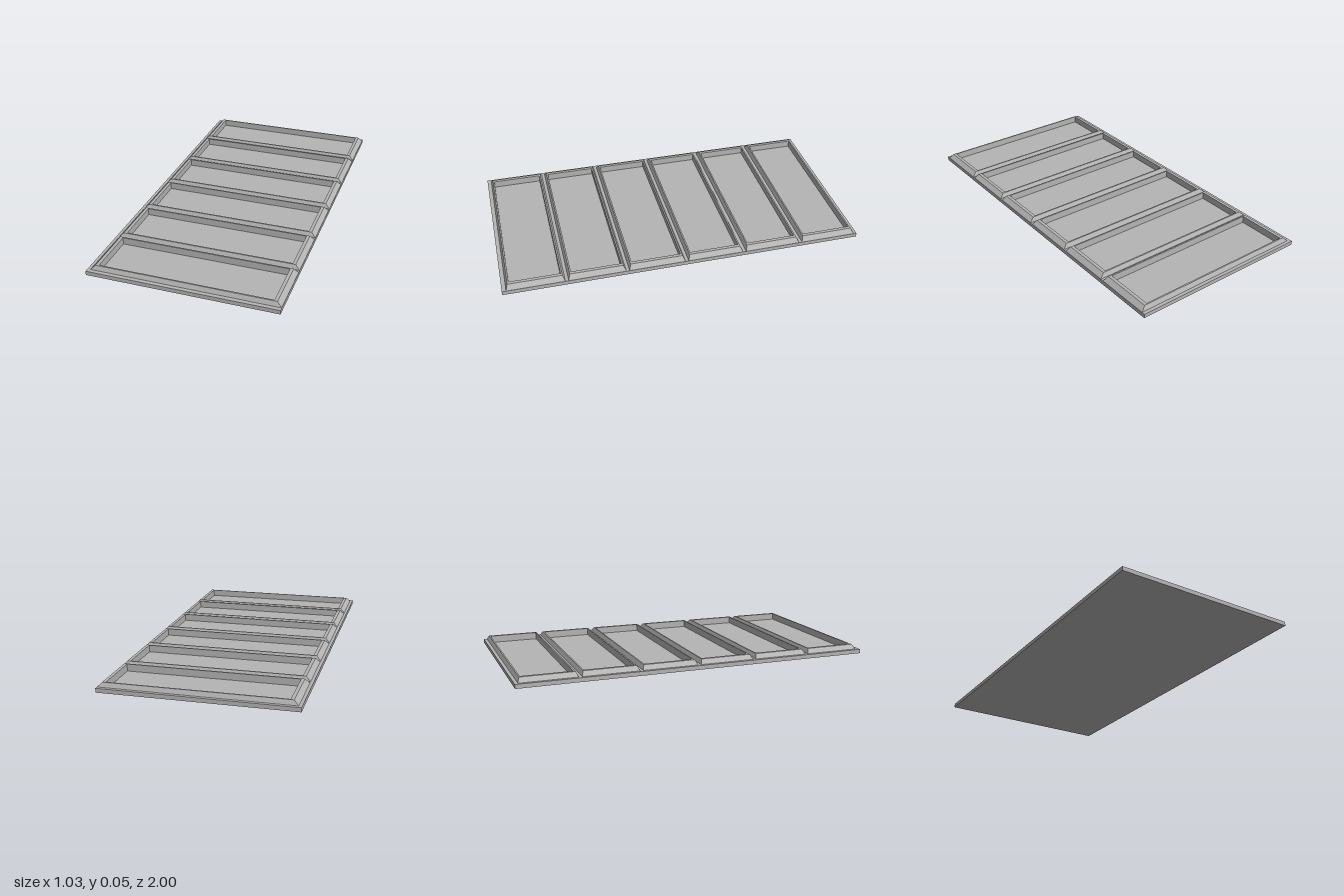
import * as THREE from 'three';

const HALF_W = 0.517, BASE_TOP = 0.023, FLOOR = 0.008, FRAME_TOP = 0.047;
const COUNT = 6, PITCH = 0.3295, FRAME_X = 0.008, FRAME_Z = -0.002;

// Rectangular rings, from the outer foot over the rail and down the inner wall:
// [half width, half depth, height]
const RINGS = [
  [0.508, 0.156, BASE_TOP],
  [0.484, 0.145, FRAME_TOP],
  [0.466, 0.137, FRAME_TOP],
  [0.466, 0.137, FLOOR],
];
const CORNERS = [[-1, -1], [-1, 1], [1, 1], [1, -1]];

// Lofts the rings into a bevelled frame with flat faces
function frameGeometry() {
  const pos = [];
  const point = (r, c) => {
    const [w, d, y] = RINGS[r], [sx, sz] = CORNERS[c % 4];
    return [sx * w, y, sz * d];
  };
  for (let r = 0; r < RINGS.length - 1; r++) {
    for (let c = 0; c < 4; c++) {
      const a = point(r, c), b = point(r, c + 1);
      const d = point(r + 1, c), e = point(r + 1, c + 1);
      pos.push(...a, ...b, ...e, ...a, ...e, ...d);
    }
  }
  const g = new THREE.BufferGeometry();
  g.setAttribute('position', new THREE.Float32BufferAttribute(pos, 3));
  g.computeVertexNormals();
  return g;
}

// Adds a rectangle outline to a shape or hole path
function rect(path, cx, cy, w, h) {
  path.moveTo(cx - w, cy - h);
  path.lineTo(cx + w, cy - h);
  path.lineTo(cx + w, cy + h);
  path.lineTo(cx - w, cy + h);
  path.closePath();
  return path;
}

export function createModel() {
  const model = new THREE.Group();
  model.name = 'slattedPanel';
  const grey = new THREE.MeshStandardMaterial({ color: 0xb4b4b4 });
  grey.name = 'panelGrey';

  const centres = Array.from({ length: COUNT }, (_, i) =>
    FRAME_Z + (i - (COUNT - 1) / 2) * PITCH);

  // Thin backing sheet, also the floor of every recess
  const sheet = new THREE.Mesh(new THREE.BoxGeometry(HALF_W * 2, FLOOR, 2), grey);
  sheet.position.y = FLOOR / 2;
  sheet.name = 'backingSheet';
  model.add(sheet);

  // Base slab with an opening under each frame
  const outline = rect(new THREE.Shape(), 0, 0, HALF_W, 1);
  for (const z of centres) {
    outline.holes.push(rect(new THREE.Path(), FRAME_X, -z, 0.47, 0.141));
  }
  const slabGeometry = new THREE.ExtrudeGeometry(outline, {
    depth: BASE_TOP - FLOOR, bevelEnabled: false,
  });
  slabGeometry.rotateX(-Math.PI / 2);
  const slab = new THREE.Mesh(slabGeometry, grey);
  slab.position.y = FLOOR;
  slab.name = 'baseSlab';
  model.add(slab);

  // Row of raised bevelled frames
  const geometry = frameGeometry();
  centres.forEach((z, i) => {
    const frame = new THREE.Mesh(geometry, grey);
    frame.position.set(FRAME_X, 0, z);
    frame.name = `raisedFrame${i + 1}`;
    model.add(frame);
  });

  return model;
}
